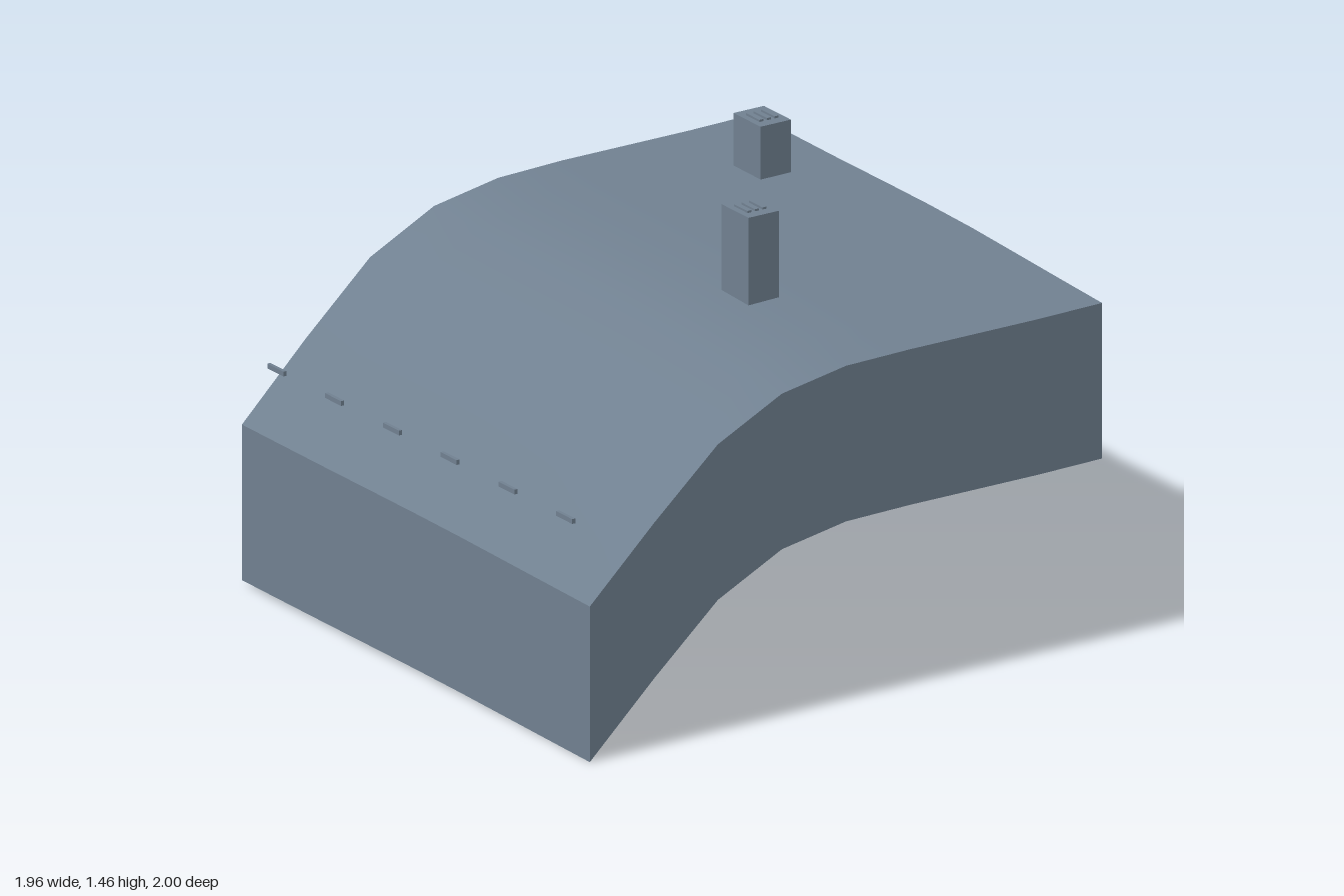
import * as THREE from 'three';

// Height profile along x (front edge), rise towards the back along z
const FRONT = [0.525, 0.755, 0.97, 1.09, 1.133, 1.138, 1.138, 1.138, 1.142];
const RISE = [0.015, 0.025, 0.032, 0.034, 0.035, 0.038, 0.038, 0.038, 0.038];
const BLEND = [0, 0.25, 0.52, 0.78, 0.9, 0.92, 0.9, 0.94, 1];
const N = 8, HALF_X = 0.978, Z_FRONT = 1, Z_BACK = -0.957, DROP = 0.524;

// Ground point for column i (left to right) and row j (front to back)
const ground = (i, j) => [
  -HALF_X + (2 * HALF_X * i) / N,
  FRONT[i] + RISE[i] * BLEND[j],
  Z_FRONT + ((Z_BACK - Z_FRONT) * j) / N,
];

// Surface patch joining a list of equal-length point rows
function patch(rows) {
  const w = rows[0].length, index = [];
  for (let r = 0; r < rows.length - 1; r++) {
    for (let c = 0; c < w - 1; c++) {
      const a = r * w + c, b = a + 1, d = a + w, e = d + 1;
      index.push(a, b, e, a, e, d);
    }
  }
  const geo = new THREE.BufferGeometry();
  geo.setAttribute('position', new THREE.Float32BufferAttribute(rows.flat(2), 3));
  geo.setIndex(index);
  geo.computeVertexNormals();
  return geo;
}

export function createModel() {
  const model = new THREE.Group();
  model.name = 'terrainTile';
  const slate = new THREE.MeshStandardMaterial({ color: 0x708090, side: THREE.DoubleSide });
  slate.name = 'slate';

  const add = (parent, geo, name, x = 0, y = 0, z = 0) => {
    const mesh = new THREE.Mesh(geo, slate);
    mesh.name = name;
    mesh.position.set(x, y, z);
    parent.add(mesh);
  };
  const steps = [...Array(N + 1).keys()];

  // Smooth curved ground
  add(model, patch(steps.map((j) => steps.map((i) => ground(i, j)))), 'ground');

  // Skirt walls hanging from the four edges, open underneath
  const edges = {
    frontWall: steps.map((i) => ground(i, 0)),
    leftWall: steps.map((j) => ground(N, j)),
    backWall: steps.map((i) => ground(N - i, N)),
    rightWall: steps.map((j) => ground(0, N - j)),
  };
  for (const [name, top] of Object.entries(edges)) {
    const bottom = top.map(([x, y, z]) => [x, y - DROP, z]);
    add(model, patch([bottom, top]), name);
  }

  // Towers with three thin roof slats each
  for (const [name, x, z, top] of [['tallTower', 0.079, 0.345, 1.45], ['shortTower', 0.729, -0.545, 1.35]]) {
    const tower = new THREE.Group();
    tower.name = name;
    const base = 1.145;
    add(tower, new THREE.BoxGeometry(0.116, top - base, 0.152), 'towerBody', x, (top + base) / 2, z);
    for (const k of [-1, 0, 1]) {
      add(tower, new THREE.BoxGeometry(0.015, 0.007, 0.076), 'roofSlat', x + k * 0.029, top + 0.0035, z);
    }
    model.add(tower);
  }

  // Row of small floating bars along the slope
  for (let k = 0; k < 6; k++) {
    add(model, new THREE.BoxGeometry(0.012, 0.016, 0.09), 'slopeBar', -0.846, 0.698, -0.955 + k * 0.325);
  }
  return model;
}
